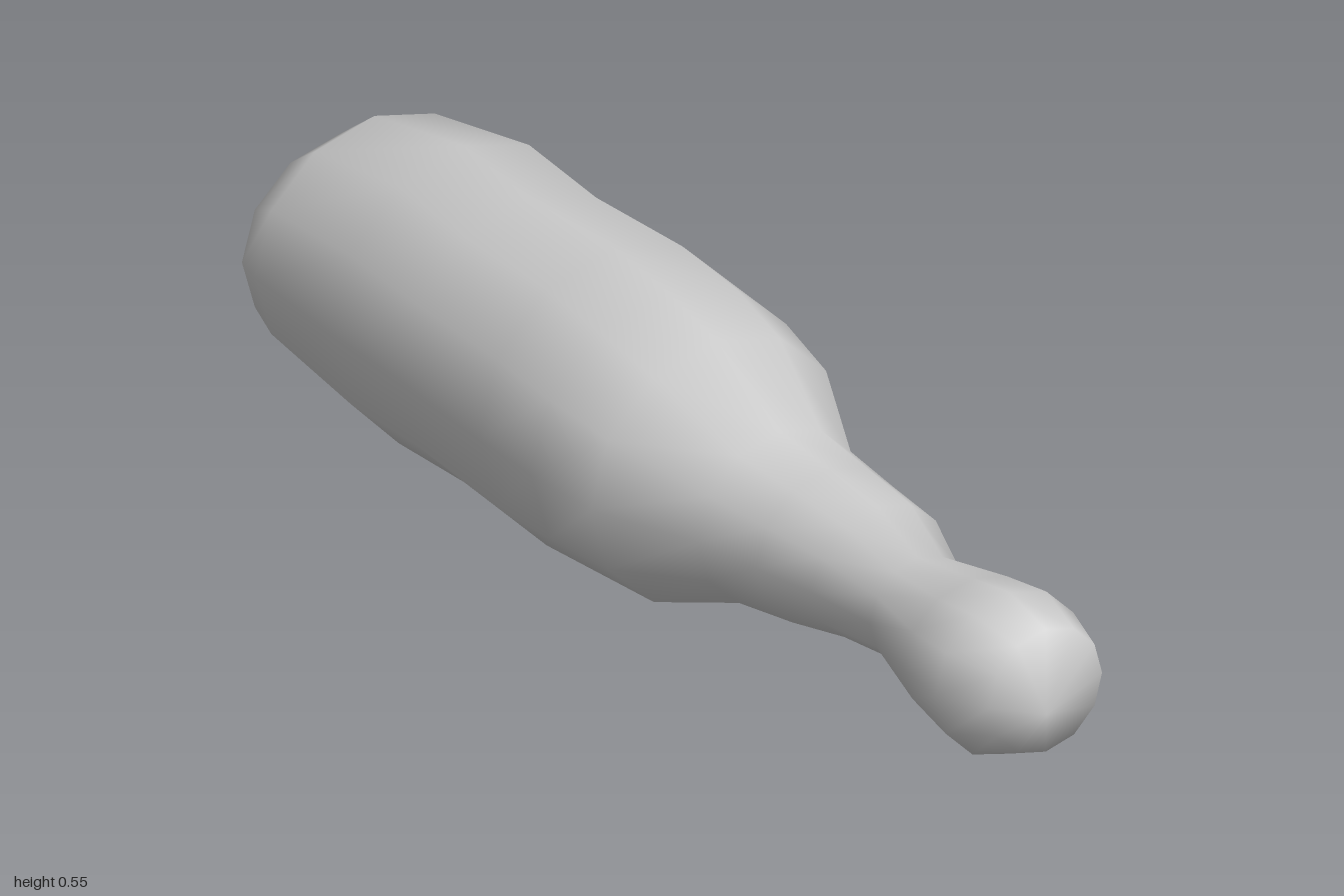
import * as THREE from 'three';

const SIDES = 12;

// Lofts elliptical rings [z, left x, right x, bottom y, top y] between two end points
function loft(rings, backTip, frontTip) {
  const pos = [], index = [];
  for (const [z, x0, x1, y0, y1] of rings) {
    for (let j = 0; j < SIDES; j++) {
      const a = (j / SIDES) * Math.PI * 2;
      pos.push((x0 + x1) / 2 + ((x1 - x0) / 2) * Math.cos(a),
        (y0 + y1) / 2 + ((y1 - y0) / 2) * Math.sin(a), z);
    }
  }
  const back = rings.length * SIDES, front = back + 1;
  pos.push(...backTip, ...frontTip);
  const last = rings.length - 1;
  for (let j = 0; j < SIDES; j++) {
    const k = (j + 1) % SIDES;
    for (let i = 0; i < last; i++) {
      const a = i * SIDES + j, b = i * SIDES + k;
      index.push(a, b, a + SIDES, b, b + SIDES, a + SIDES);
    }
    index.push(back, k, j, front, last * SIDES + j, last * SIDES + k);
  }
  const geo = new THREE.BufferGeometry();
  geo.setAttribute('position', new THREE.Float32BufferAttribute(pos, 3));
  geo.setIndex(index);
  geo.computeVertexNormals();
  return geo;
}

export function createModel() {
  const group = new THREE.Group();
  group.name = 'club';
  const material = new THREE.MeshStandardMaterial({ color: 0xcccccc });

  const rings = [
    // rounded butt
    [-0.98, -0.2, -0.01, 0.17, 0.33],
    [-0.93, -0.24, 0.12, 0.08, 0.43],
    [-0.86, -0.26, 0.185, 0.045, 0.49],
    // thick barrel
    [-0.64, -0.257, 0.23, 0.0, 0.533],
    [-0.45, -0.257, 0.227, 0.022, 0.53],
    [-0.22, -0.257, 0.25, 0.014, 0.545],
    [-0.08, -0.25, 0.26, 0.03, 0.53],
    [0.07, -0.235, 0.235, 0.05, 0.515],
    // shoulder and narrow handle
    [0.24, -0.145, 0.16, 0.125, 0.43],
    [0.36, -0.115, 0.16, 0.142, 0.415],
    [0.48, -0.09, 0.16, 0.17, 0.4],
    [0.62, -0.07, 0.11, 0.198, 0.38],
    // end knob
    [0.77, -0.105, 0.155, 0.17, 0.412],
    [0.88, -0.115, 0.16, 0.15, 0.44],
    [0.95, -0.06, 0.15, 0.18, 0.4],
  ];
  const body = new THREE.Mesh(loft(rings, [-0.11, 0.25, -1], [0.015, 0.28, 1]), material);
  body.name = 'clubBody';
  group.add(body);
  return group;
}
